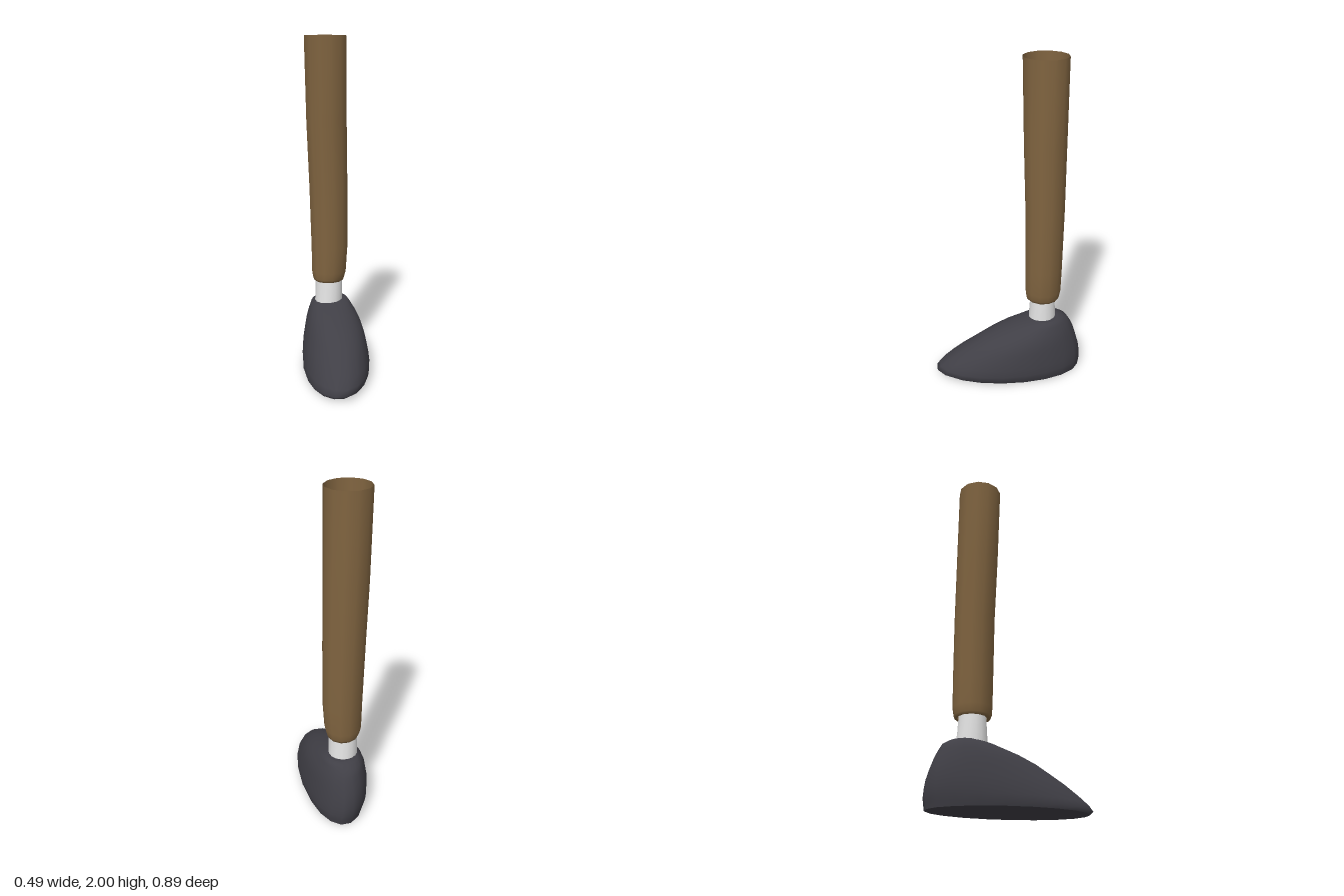
import * as THREE from 'three';

const shoeDark = new THREE.MeshStandardMaterial({ color: 0x403f46, side: THREE.DoubleSide });
shoeDark.name = 'shoeDark';
const trouserBrown = new THREE.MeshStandardMaterial({ color: 0x806440, side: THREE.DoubleSide });
trouserBrown.name = 'trouserBrown';
const sockWhite = new THREE.MeshStandardMaterial({ color: 0xe6e6e6, side: THREE.DoubleSide });
sockWhite.name = 'sockWhite';

// Points of one oval ring: [y, xMin, xMax, zMin, zMax, skew in degrees, toe lift]
function ringPoints([y, x0, x1, z0, z1, skew = 0, lift = 0], sides) {
  const phi = THREE.MathUtils.degToRad(skew);
  return Array.from({ length: sides }, (_, i) => {
    const t = (i / sides) * Math.PI * 2;
    return new THREE.Vector3(
      (x0 + x1) / 2 + ((x1 - x0) / 2) * Math.sin(t + phi),
      y + (lift * (1 + Math.cos(t))) / 2,
      (z0 + z1) / 2 + ((z1 - z0) / 2) * Math.cos(t)
    );
  });
}

function finish(points, index) {
  const geometry = new THREE.BufferGeometry().setFromPoints(points);
  geometry.setIndex(index);
  geometry.computeVertexNormals();
  return geometry;
}

// Smooth skin through rings listed from bottom to top
function loft(rings, sides) {
  const index = [];
  for (let j = 0; j < rings.length - 1; j++) {
    for (let i = 0; i < sides; i++) {
      const n = (i + 1) % sides;
      const a = j * sides + i, b = j * sides + n;
      const c = b + sides, d = a + sides;
      index.push(a, b, c, a, c, d);
    }
  }
  return finish(rings.flatMap((r) => ringPoints(r, sides)), index);
}

// Flat fan closing one ring
function cap(ring, sides, up) {
  const index = [];
  for (let i = 1; i < sides - 1; i++) {
    index.push(0, up ? i : i + 1, up ? i + 1 : i);
  }
  return finish(ringPoints(ring, sides), index);
}

export function createModel() {
  const model = new THREE.Group();
  model.name = 'lowerLeg';
  const add = (name, geometry, material, parent = model) => {
    const mesh = new THREE.Mesh(geometry, material);
    mesh.name = name;
    parent.add(mesh);
  };

  // Shoe: skewed ovals shrinking from the sole back towards the ankle
  const shoeRings = [
    [0, -0.23, 0.222, -0.438, 0.428, 29, 0.012],
    [0.032, -0.238, 0.243, -0.443, 0.447, 29],
    [0.065, -0.245, 0.245, -0.447, 0.425, 29],
    [0.11, -0.249, 0.232, -0.443, 0.375, 29],
    [0.16, -0.249, 0.21, -0.435, 0.31, 28],
    [0.21, -0.245, 0.185, -0.42, 0.235, 27],
    [0.26, -0.238, 0.15, -0.403, 0.155, 24],
    [0.305, -0.227, 0.102, -0.382, 0.06, 20],
    [0.345, -0.215, 0.05, -0.358, -0.05, 14],
    [0.365, -0.19, 0.02, -0.33, -0.12, 5],
    [0.372, -0.17, 0, -0.305, -0.15, 0],
  ];
  const shoe = new THREE.Group();
  shoe.name = 'shoe';
  model.add(shoe);
  add('shoeUpper', loft(shoeRings, 20), shoeDark, shoe);
  add('sole', cap(shoeRings[0], 20, false), shoeDark, shoe);
  add('shoeTop', cap(shoeRings[shoeRings.length - 1], 20, true), shoeDark, shoe);

  // Sock: short open sleeve between shoe and trouser
  add('sock', loft([
    [0.34, -0.183, -0.008, -0.288, -0.113],
    [0.43, -0.181, -0.009, -0.281, -0.119],
    [0.51, -0.179, -0.01, -0.277, -0.124],
  ], 16), sockWhite);

  // Trouser leg: open tube, rounded in at the hem
  add('trouserLeg', loft([
    [0.502, -0.182, -0.008, -0.284, -0.118],
    [0.5, -0.187, -0.002, -0.298, -0.1],
    [0.515, -0.194, 0.004, -0.304, -0.094],
    [0.56, -0.203, 0.016, -0.312, -0.091],
    [0.72, -0.206, 0.026, -0.316, -0.089],
    [1.1, -0.217, 0.025, -0.319, -0.084],
    [1.5, -0.23, 0.021, -0.317, -0.069],
    [2, -0.238, 0.019, -0.315, -0.056],
  ], 12), trouserBrown);

  return model;
}
